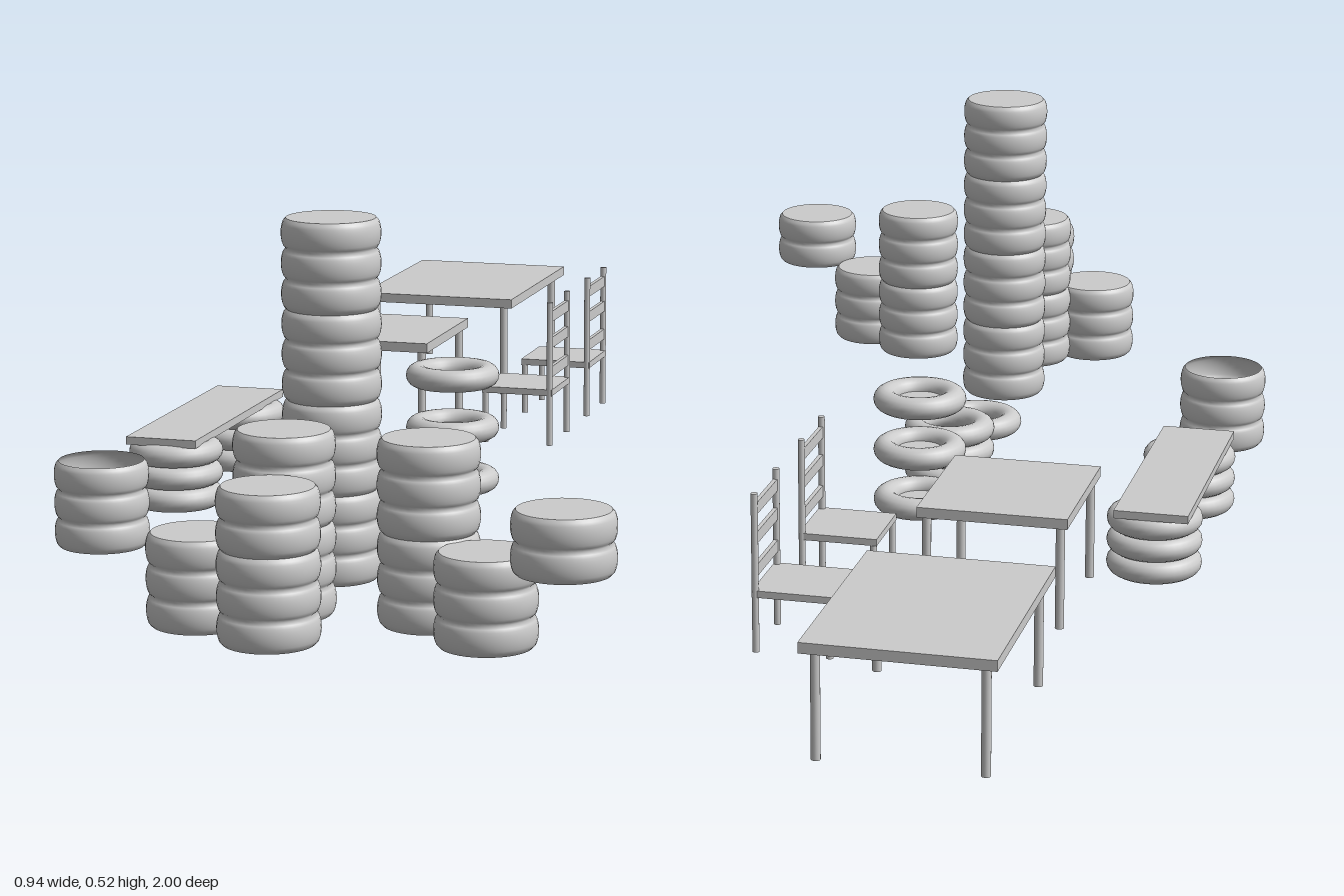
import * as THREE from 'three';

const grey = new THREE.MeshStandardMaterial({ color: 0xcccccc });
const shell = new THREE.MeshStandardMaterial({ color: 0xcccccc, side: THREE.DoubleSide });

function add(parent, name, geometry, x, y, z, material = grey) {
  const mesh = new THREE.Mesh(geometry, material);
  mesh.name = name;
  mesh.position.set(x, y, z);
  parent.add(mesh);
  return mesh;
}

function group(parent, name, x = 0, z = 0) {
  const g = new THREE.Group();
  g.name = name;
  g.position.set(x, 0, z);
  parent.add(g);
  return g;
}

const box = (w, h, d) => new THREE.BoxGeometry(w, h, d);

// Flattened ring tyre, lying down
const tyreGeometry = new THREE.TorusGeometry(0.0525, 0.018, 16, 40).rotateX(Math.PI / 2).scale(1, 0.95, 1);
const discGeometry = new THREE.CircleGeometry(0.038, 32).rotateX(-Math.PI / 2);

// Thin wall with one bulge per stacked tyre, open below
const BULGE = 0.0415;
function bulgedWall(count) {
  const points = [];
  const steps = 10;
  for (let b = 0; b < count; b++) {
    for (let i = b ? 1 : 0; i <= steps; i++) {
      const t = i / steps;
      const r = 0.061 + 0.007 * Math.sqrt(Math.sin(Math.PI * Math.min(Math.max(t, 0), 1)) + 1e-9);
      points.push(new THREE.Vector2(r, (b + t) * BULGE));
    }
  }
  return new THREE.LatheGeometry(points, 40);
}
const walls = { 2: bulgedWall(2), 3: bulgedWall(3) };
const capGeometry = new THREE.CircleGeometry(0.0612, 40).rotateX(-Math.PI / 2);

// Stack of bulged units, listed from the bottom up by tyre count
function tyreColumn(parent, name, x, z, y, units, capped = true) {
  const g = group(parent, name, x, z);
  for (const n of units) {
    add(g, 'tyreWall', walls[n], 0, y, 0, shell);
    y += n * BULGE;
    if (capped) add(g, 'columnCap', capGeometry, 0, y, 0, shell);
  }
}

function tyreRings(parent, name, x, z, heights, filled = false) {
  const g = group(parent, name, x, z);
  for (const y of heights) {
    add(g, 'tyre', tyreGeometry, 0, y, 0);
    if (filled) add(g, 'tyreCentre', discGeometry, 0, y, 0, shell);
  }
}

function table(parent, name, x, z, w, d, inset) {
  const g = group(parent, name, x, z);
  add(g, 'tableTop', box(w, 0.015, d), 0, 0.183, 0);
  const leg = new THREE.CylinderGeometry(0.0065, 0.0065, 0.152, 16);
  for (const sx of [-1, 1]) for (const sz of [-1, 1]) {
    add(g, 'tableLeg', leg, sx * (w / 2 - inset), 0.101, sz * (d / 2 - inset));
  }
}

// Chair facing -x, with a ladder back on the +x side
function chair(parent, x, z) {
  const g = group(parent, 'chair', x, z);
  add(g, 'seat', box(0.115, 0.01, 0.115), 0, 0.11, 0);
  for (const sz of [-1, 1]) {
    add(g, 'frontLeg', new THREE.CylinderGeometry(0.005, 0.005, 0.08, 12), -0.052, 0.065, sz * 0.054);
    add(g, 'backPost', new THREE.CylinderGeometry(0.005, 0.005, 0.23, 12), 0.053, 0.14, sz * 0.054);
  }
  for (const y of [0.232, 0.19, 0.143]) add(g, 'backSlat', box(0.006, 0.017, 0.108), 0.053, y, 0);
}

export function createModel() {
  const model = new THREE.Group();
  model.name = 'tyreCourse';

  // Furniture
  table(model, 'largeTable', -0.23, -0.825, 0.26, 0.35, 0.018);
  table(model, 'smallTable', -0.23, -0.347, 0.215, 0.235, 0.012);
  for (const z of [-0.586, -0.347]) chair(model, 0.008, z);

  // Bench on two tyre piles
  const pile = [0.0171, 0.051, 0.085];
  for (const z of [-0.13, 0.16]) tyreRings(model, 'benchTyrePile', -0.4, z, pile);
  add(model, 'benchPlank', box(0.11, 0.012, 0.405), -0.405, 0.106, 0.01);

  // Ring tyres along the middle
  tyreRings(model, 'spacedTyres', -0.01, 0.012, [0.033, 0.113, 0.193], true);
  tyreRings(model, 'tyrePile', -0.01, 0.207, pile);
  tyreRings(model, 'singleTyre', -0.01, 0.405, [0.033]);

  // Hollow barrel, open at both ends
  tyreColumn(model, 'openBarrel', -0.4, 0.466, 0.01, [3], false);

  // Tall tower and the two front clusters
  tyreColumn(model, 'tallTower', -0.008, 0.605, 0.024, [3, 3, 3, 3]);
  tyreColumn(model, 'mediumColumn', -0.01, 0.803, 0.022, [3, 3]);
  tyreColumn(model, 'shortColumn', -0.106, 0.876, 0.019, [3]);
  tyreColumn(model, 'frontColumn', 0.01, 0.928, 0.016, [3, 2]);
  tyreColumn(model, 'mediumColumn', 0.188, 0.803, 0.022, [3, 3]);
  tyreColumn(model, 'shortColumn', 0.286, 0.876, 0.019, [3]);
  tyreColumn(model, 'raisedColumn', 0.402, 0.928, 0.135, [2]);

  return model;
}
